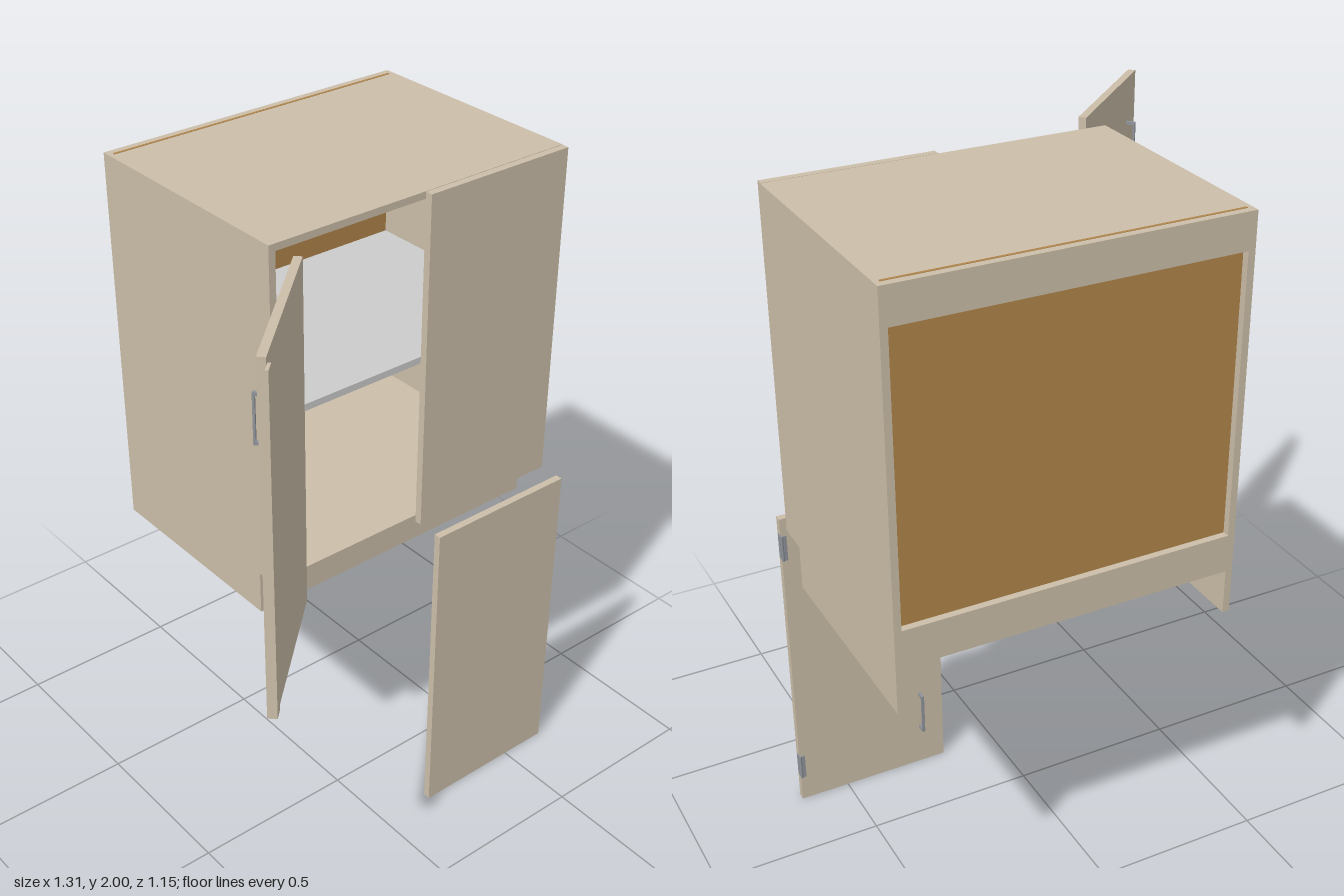
import * as THREE from 'three';

const mat = (color) => new THREE.MeshStandardMaterial({ color });
const wood = mat(0xcbbda8);
const backing = mat(0xb0854a);
const white = mat(0xdedede);
const metal = mat(0x8f949a);

const T = 0.02; // board thickness
const L = -0.318, R = 0.652, BACK = -0.577, FRONT = 0.136; // cabinet extents

// Box given by its minimum and maximum corners
function board(parent, name, material, [x0, y0, z0], [x1, y1, z1]) {
  const geometry = new THREE.BoxGeometry(x1 - x0, y1 - y0, z1 - z0);
  geometry.translate((x0 + x1) / 2, (y0 + y1) / 2, (z0 + z1) / 2);
  const mesh = new THREE.Mesh(geometry, material);
  mesh.name = name;
  parent.add(mesh);
  return mesh;
}

// Side board with the toe recess cut from its lower front corner
function sidePanel(name, x) {
  const outline = new THREE.Shape([
    [BACK, 0.87], [0.06, 0.87], [0.06, 1], [FRONT, 1], [FRONT, 2], [BACK, 2],
  ].map(([z, y]) => new THREE.Vector2(z, y)));
  const geometry = new THREE.ExtrudeGeometry(outline, { depth: T, bevelEnabled: false });
  geometry.rotateY(-Math.PI / 2).translate(x + T, 0, 0);
  const mesh = new THREE.Mesh(geometry, wood);
  mesh.name = name;
  return mesh;
}

// Hinge: rounded leaf on the door edge, and a barrel on the front corner
function hinge(y) {
  const group = new THREE.Group();
  group.name = 'hinge';
  const h = 0.08, w = 0.024, r = 0.008;
  const s = new THREE.Shape();
  s.moveTo(0, 0);
  s.lineTo(w - r, 0);
  s.quadraticCurveTo(w, 0, w, r);
  s.lineTo(w, h - r);
  s.quadraticCurveTo(w, h, w - r, h);
  s.lineTo(0, h);
  const leafGeometry = new THREE.ExtrudeGeometry(s, { depth: 0.002, bevelEnabled: false, curveSegments: 4 });
  leafGeometry.rotateY(Math.PI / 2).translate(-0.002, 0, 0.009);
  const leaf = new THREE.Mesh(leafGeometry, metal);
  leaf.name = 'hingeLeaf';
  const barrel = new THREE.Mesh(new THREE.CylinderGeometry(0.004, 0.004, h, 10), metal);
  barrel.name = 'hingeBarrel';
  barrel.position.set(0, h / 2, 0.01);
  group.add(leaf, barrel);
  board(group, 'hingePlate', metal, [0, 0, 0.008], [0.014, h, 0.011]);
  group.position.y = y;
  return group;
}

// U-shaped pull handle
function handle(x, y) {
  const group = new THREE.Group();
  group.name = 'handle';
  const h = 0.135, d = 0.026, t = 0.009;
  board(group, 'handleGrip', metal, [-t / 2, 0, d - 0.006], [t / 2, h, d]);
  for (const foot of [0, h - t]) {
    board(group, 'handlePost', metal, [-t / 2, foot, 0], [t / 2, foot + t, d - 0.006]);
  }
  group.position.set(x, y, 0);
  return group;
}

// Hinged door: hinge edge at x = 0, outer face at z = 0, extending to +x
function door(name, hingeHeights, handleHeight) {
  const group = new THREE.Group();
  group.name = name;
  board(group, 'doorPanel', wood, [0, 0, -0.022], [0.478, 1, 0]);
  for (const y of hingeHeights) group.add(hinge(y));
  group.add(handle(0.402, handleHeight));
  return group;
}

export function createModel() {
  const model = new THREE.Group();
  model.name = 'cabinet';

  // Carcass
  const x0 = L + T, x1 = R - T;
  model.add(sidePanel('rightSide', L), sidePanel('leftSide', x1));
  board(model, 'topPanel', wood, [x0, 2 - T, BACK], [x1, 2, FRONT]);
  board(model, 'bottomPanel', wood, [x0, 1, -0.55], [x1, 1 + T, FRONT]);
  board(model, 'toeKick', wood, [x0, 0.87, 0.04], [x1, 1, 0.06]);
  board(model, 'upperBackRail', wood, [x0, 1.9, BACK], [x1, 2 - T, -0.557]);
  board(model, 'lowerBackRail', wood, [x0, 1, BACK], [x1, 1.11, -0.557]);
  board(model, 'backPanel', backing, [L + 0.015, 1, -0.556], [R - 0.015, 2.001, -0.548]);
  board(model, 'shelf', white, [x0, 1.49, -0.548], [x1, 1.51, 0.11]);

  // Closed front on the left half
  board(model, 'closedDoor', wood, [0.172, 1, FRONT + 0.002], [0.65, 2, 0.16]);

  // Right door, swung open, with an overlap strip along its free edge
  const open = door('openDoor', [0.01, 0.83], 0.735);
  board(open, 'overlapStrip', wood, [0.464, 0.02, -0.03], [0.498, 0.98, -0.022]);
  open.position.set(-0.305, 1, 0.215);
  open.rotation.y = THREE.MathUtils.degToRad(-137.15);

  // Separate lower door, turned to show its back to the front
  const lower = door('lowerDoor', [0.09, 0.87], 0.13);
  lower.position.set(0.65, 0, 0.22);
  lower.rotation.y = Math.PI;

  model.add(open, lower);
  return model;
}
